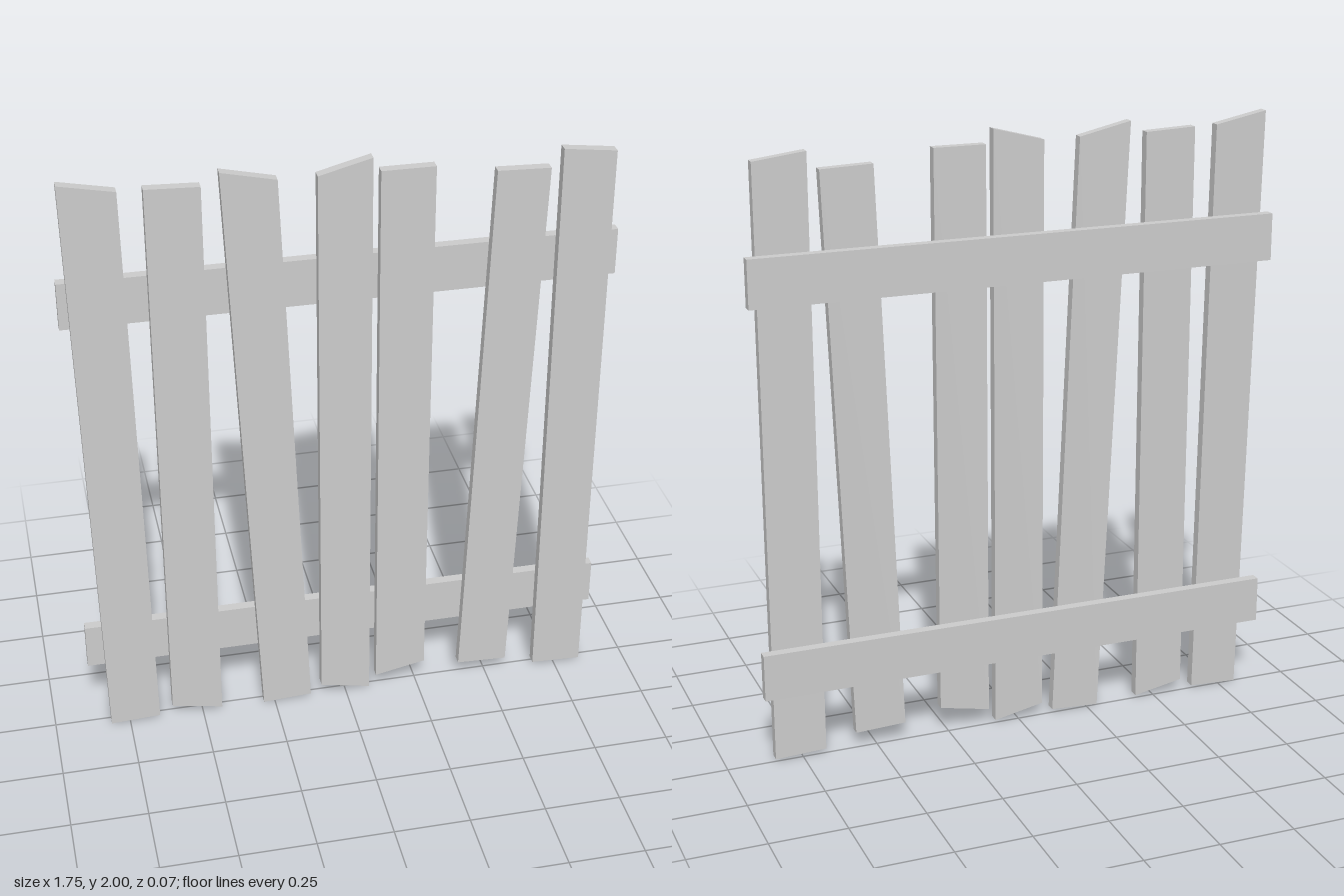
import * as THREE from 'three';

const THICKNESS = 0.033;

// Plank outlines: bottom left, bottom right, top right, top left
const PLANKS = [
  [[-0.813, 0], [-0.648, 0.008], [-0.68, 1.965], [-0.854, 2]],
  [[-0.603, 0.04], [-0.434, 0.008], [-0.434, 1.957], [-0.603, 1.964]],
  [[-0.288, 0.002], [-0.124, 0.011], [-0.206, 1.957], [-0.379, 1.996]],
  [[-0.086, 0.042], [0.082, 0.008], [0.082, 2], [-0.086, 1.956]],
  [[0.106, 0.053], [0.276, 0.088], [0.276, 1.954], [0.106, 1.954]],
  [[0.4, 0.058], [0.569, 0.051], [0.635, 1.914], [0.466, 1.92]],
  [[0.672, 0.014], [0.841, 0.007], [0.841, 1.951], [0.672, 1.972]],
];

export function createModel() {
  const model = new THREE.Group();
  model.name = 'fence';
  const wood = new THREE.MeshStandardMaterial({ color: 0xcccccc, flatShading: true });

  // Upright planks with crooked, slanted ends
  PLANKS.forEach((corners, i) => {
    const outline = new THREE.Shape(corners.map(([x, y]) => new THREE.Vector2(x, y)));
    const geometry = new THREE.ExtrudeGeometry(outline, { depth: THICKNESS, bevelEnabled: false });
    const plank = new THREE.Mesh(geometry, wood);
    plank.name = `plank${i + 1}`;
    model.add(plank);
  });

  // Horizontal rails behind the planks
  for (const [name, y] of [['lowerRail', 0.311], ['upperRail', 1.591]]) {
    const rail = new THREE.Mesh(new THREE.BoxGeometry(1.75, 0.155, THICKNESS), wood);
    rail.name = name;
    rail.position.set(0, y, -THICKNESS / 2);
    model.add(rail);
  }
  return model;
}
